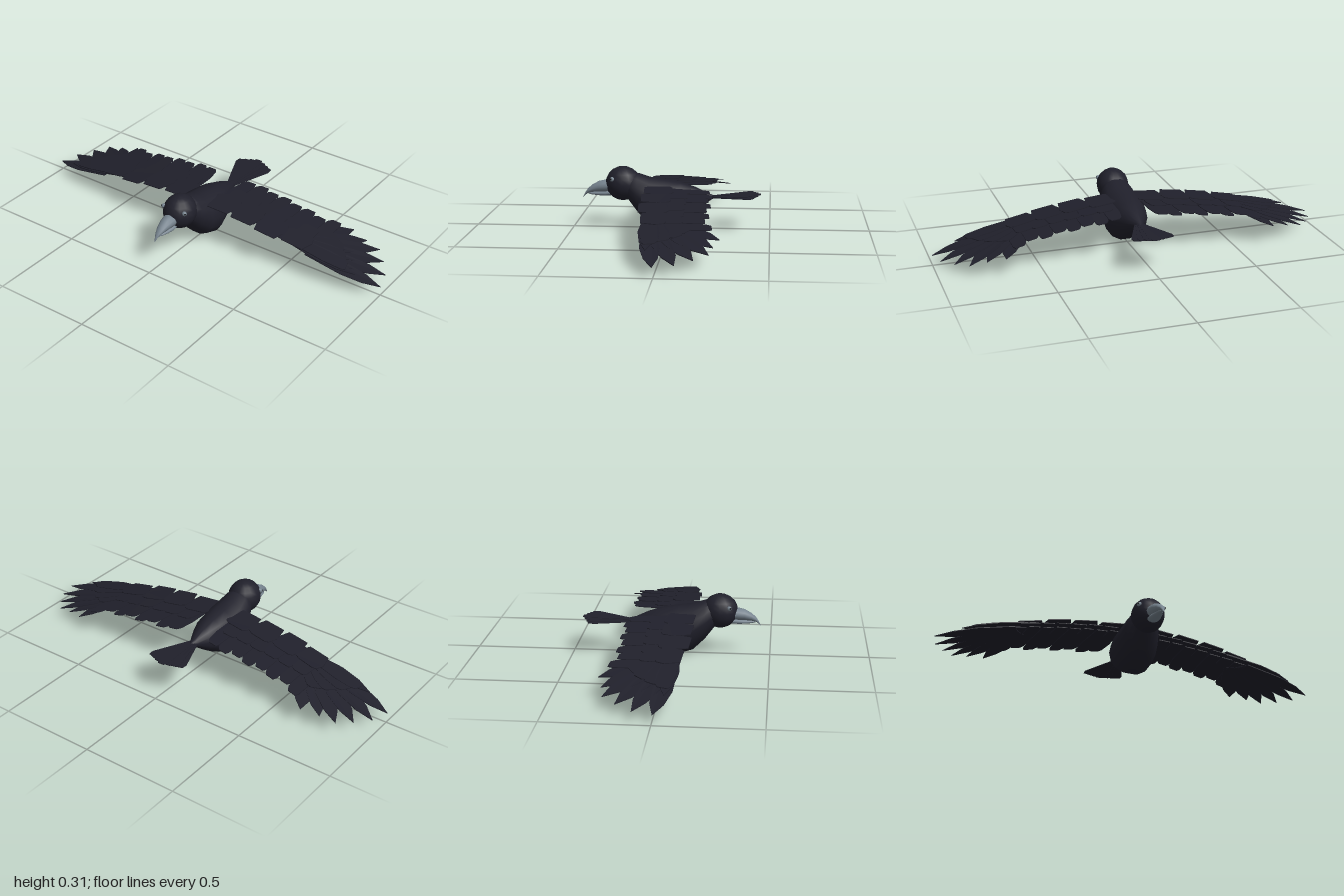
import * as THREE from 'three';

const plumage = new THREE.MeshStandardMaterial({ color: 0x20202b });
plumage.name = 'black plumage';
const horn = new THREE.MeshStandardMaterial({ color: 0x76838e });
horn.name = 'grey horn';
const dark = new THREE.MeshStandardMaterial({ color: 0x0c0c10 });
dark.name = 'pupil black';

function add(parent, name, geometry, material) {
  const mesh = new THREE.Mesh(geometry, material);
  mesh.name = name;
  parent.add(mesh);
  return mesh;
}

// Skin over elliptical rings [z, top y, bottom y, half width], front to back
function loft(rings, sides) {
  const pos = [], index = [];
  rings.forEach(([z, top, bottom, w], i) => {
    for (let j = 0; j < sides; j++) {
      const a = (j / sides) * Math.PI * 2;
      pos.push(Math.cos(a) * w, (top + bottom) / 2 + Math.sin(a) * (top - bottom) / 2, z);
      if (i === rings.length - 1) continue;
      const k = (j + 1) % sides, r = i * sides, s = r + sides;
      index.push(r + j, s + j, s + k, r + j, s + k, r + k);
    }
  });
  const g = new THREE.BufferGeometry();
  g.setAttribute('position', new THREE.Float32BufferAttribute(pos, 3));
  g.setIndex(index);
  g.computeVertexNormals();
  return g;
}

// Feather outlines: [across, along]
const BLUNT = [[-0.36, 0], [0.36, 0], [0.5, 0.6], [0.42, 0.93], [0.3, 1], [-0.25, 0.97], [-0.42, 0.88], [-0.5, 0.6]];
const POINTED = [[-0.3, 0], [0.3, 0], [0.5, 0.5], [0.36, 0.78], [0, 1], [-0.36, 0.78], [-0.5, 0.5]];
const FAN = [[-0.12, 0], [0.12, 0], [0.5, 0.88], [0.3, 0.98], [-0.3, 0.98], [-0.5, 0.88]];

// Thin feather from root to tip [x, z], laid on the surface y = height(x, along)
function feather(outline, root, tip, width, height) {
  const dx = tip[0] - root[0], dz = tip[1] - root[1], len = Math.hypot(dx, dz);
  const vx = dx / len, vz = dz / len;
  const shape = new THREE.Shape(outline.map(([u, v]) => new THREE.Vector2(u * width, v * len)));
  const g = new THREE.ExtrudeGeometry(shape, { depth: 0.004, bevelEnabled: false });
  const p = g.attributes.position;
  for (let i = 0; i < p.count; i++) {
    const u = p.getX(i), v = p.getY(i), d = p.getZ(i);
    const x = root[0] + vx * v - vz * u, z = root[1] + vz * v + vx * u;
    p.setXYZ(i, x, height(x, v / len) + d, z);
  }
  g.computeVertexNormals();
  return g;
}

const arch = (x) => 0.22 - 0.152 * Math.pow(Math.max(x, 0), 1.6);

function makeWing() {
  const wing = new THREE.Group();
  const lay = (lift, droop = 0) => (x, t) => arch(x) + lift - droop * t;

  // Trailing flight feathers
  for (let i = 0; i < 8; i++) {
    const x = 0.11 + i * 0.07;
    add(wing, 'secondaryFeather', feather(BLUNT, [x - 0.01, 0.06], [x + 0.012, -0.205 - (i % 2) * 0.015 - (i > 6 ? 0.02 : 0)],
      0.078, lay(-0.004 - (i % 2) * 0.003)), plumage);
  }
  // Fanned outer flight feathers
  const tips = [[0.69, -0.275], [0.78, -0.25], [0.86, -0.235], [0.92, -0.17], [0.975, -0.09], [1.0, 0.005]];
  tips.forEach((tip, i) => {
    add(wing, 'primaryFeather', feather(POINTED, [0.57 + i * 0.01, -0.02 + i * 0.016], tip, 0.092,
      lay(-0.005 - i * 0.002, 0.025 * (1 - i / 5))), plumage);
  });
  // Small feathers covering the roots of the fan
  [[0.68, -0.13], [0.74, -0.09], [0.79, -0.03], [0.83, 0.03]].forEach((tip, i) => {
    add(wing, 'primaryCovert', feather(BLUNT, [0.55, 0.02 + i * 0.012], tip, 0.09, lay(0.001 + i * 0.002)), plumage);
  });
  add(wing, 'wingTipEdge', feather(POINTED, [0.5, 0.06], [0.88, 0.045], 0.09, lay(0.002)), plumage);
  // Middle row
  for (let i = 0; i < 6; i++) {
    const x = 0.13 + i * 0.083;
    add(wing, 'middleCovert', feather(BLUNT, [x, 0.09], [x + 0.012, -0.1], 0.1, lay(0.003 + (i % 2) * 0.002)), plumage);
  }
  // Broad front row
  for (let i = 0; i < 4; i++) {
    const x = 0.125 + i * 0.14;
    add(wing, 'leadingCovert', feather(BLUNT, [x + 0.01, i === 3 ? 0.1 : 0.125], [x, -0.02], 0.155,
      lay(0.008 + (i % 2) * 0.002)), plumage);
  }
  return wing;
}

export function createModel() {
  const model = new THREE.Group();
  model.name = 'flyingBird';

  add(model, 'body', loft([
    [0.24, 0.27, 0.17, 0.03], [0.22, 0.288, 0.152, 0.068], [0.17, 0.285, 0.085, 0.09], [0.11, 0.266, 0.027, 0.107],
    [0.035, 0.256, 0.002, 0.112], [-0.05, 0.241, 0.045, 0.092], [-0.12, 0.218, 0.092, 0.06],
    [-0.19, 0.186, 0.145, 0.022], [-0.22, 0.174, 0.165, 0.005],
  ], 14), plumage);

  const head = add(model, 'head', new THREE.SphereGeometry(1, 14, 10), plumage);
  head.scale.set(0.083, 0.087, 0.09);
  head.position.set(0, 0.233, 0.246);

  add(model, 'upperBeak', loft([
    [0.452, 0.159, 0.157, 0.001], [0.442, 0.18, 0.167, 0.006], [0.428, 0.201, 0.178, 0.013],
    [0.405, 0.222, 0.184, 0.022], [0.37, 0.242, 0.186, 0.031], [0.335, 0.25, 0.187, 0.037], [0.3, 0.25, 0.19, 0.036],
  ], 12), horn);
  add(model, 'lowerBeak', loft([
    [0.425, 0.182, 0.175, 0.002], [0.405, 0.186, 0.171, 0.014], [0.37, 0.19, 0.168, 0.024],
    [0.335, 0.195, 0.167, 0.03], [0.29, 0.2, 0.17, 0.028],
  ], 12), horn);

  // Tail fan
  const tail = new THREE.Group();
  tail.name = 'tail';
  model.add(tail);
  for (let i = -3; i <= 3; i++) {
    const n = Math.abs(i);
    const lift = 0.006 - n * 0.002 + (i > 0 ? 0.0007 : 0);
    add(tail, 'tailFeather', feather(FAN, [i * 0.003, -0.17], [i * 0.029, -0.458 + n * 0.012], 0.055,
      (x, t) => 0.164 + lift + 0.013 * t), plumage);
  }

  // Eyes and wings, mirrored
  for (const side of [1, -1]) {
    const eye = add(model, side > 0 ? 'leftEye' : 'rightEye', new THREE.SphereGeometry(0.012, 10, 8), horn);
    eye.position.set(side * 0.063, 0.262, 0.294);
    const pupil = add(model, side > 0 ? 'leftPupil' : 'rightPupil', new THREE.SphereGeometry(0.005, 8, 6), dark);
    pupil.position.set(side * 0.0705, 0.2635, 0.299);
    const wing = makeWing();
    wing.name = side > 0 ? 'leftWing' : 'rightWing';
    wing.scale.x = side;
    model.add(wing);
  }
  return model;
}
